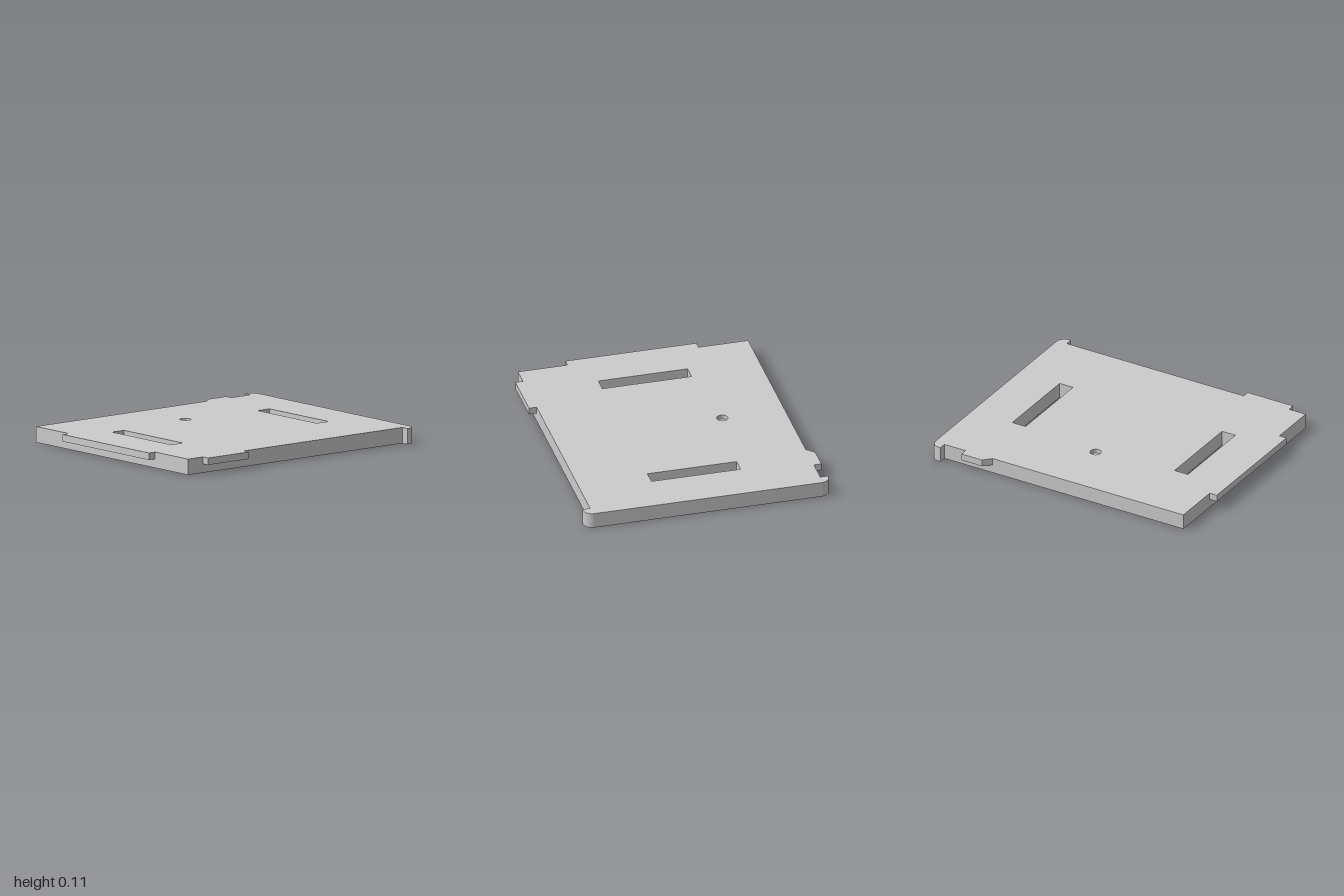
import * as THREE from 'three';
import { toCreasedNormals } from 'three/addons/utils/BufferGeometryUtils.js';

const H = 0.108;          // plate thickness
const TAB_Y = 0.06;       // underside of the thin tabs
const RECESS = 0.047;     // depth of the round recess underneath
const PIN = 0.03;         // depth of the small blind hole on top

export function createModel() {
  const group = new THREE.Group();
  const material = new THREE.MeshStandardMaterial({ color: 0xcccccc });

  const add = (name, geometry) => {
    const mesh = new THREE.Mesh(geometry, material);
    mesh.name = name;
    group.add(mesh);
    return mesh;
  };

  // Plans are drawn in (x, -z), so turning them back lays them flat.
  const lay = (geometry, y = 0) => geometry.rotateX(-Math.PI / 2).translate(0, y, 0);

  // Vertical wall along a closed path: counterclockwise faces out, clockwise faces in.
  const wall = (path, y0, y1) => {
    const pts = path.getPoints(24);
    const pos = [];
    pts.forEach((p, i) => {
      const q = pts[(i + 1) % pts.length];
      if (p.distanceTo(q) < 1e-5) return;
      pos.push(p.x, p.y, y0, q.x, q.y, y0, q.x, q.y, y1);
      pos.push(p.x, p.y, y0, q.x, q.y, y1, p.x, p.y, y1);
    });
    const g = new THREE.BufferGeometry();
    g.setAttribute('position', new THREE.Float32BufferAttribute(pos, 3));
    g.computeVertexNormals();
    return lay(toCreasedNormals(g, 0.6));
  };

  const polygon = (pts) => new THREE.Shape(pts.map(([x, y]) => new THREE.Vector2(x, y)));
  const circle = (x, y, r) => new THREE.Path().absarc(x, y, r, 0, Math.PI * 2, true);

  // Plate outline with a rounded hook at both left corners
  const outline = new THREE.Shape();
  outline.moveTo(-0.945, -0.8);
  outline.lineTo(0.925, -0.8);
  outline.lineTo(0.925, -0.853);
  outline.absarc(0.937, -0.79, 0.063, -Math.PI / 2, 0, false);
  outline.absarc(0.937, 0.79, 0.063, 0, Math.PI / 2, false);
  outline.lineTo(0.925, 0.853);
  outline.lineTo(0.925, 0.8);
  outline.lineTo(-0.945, 0.8);
  outline.closePath();

  // Two through slots
  const slots = [-0.635, 0.635].map((x) =>
    polygon([[x - 0.052, -0.31], [x - 0.052, 0.31], [x + 0.052, 0.31], [x + 0.052, -0.31], [x - 0.052, -0.31]]));
  const pinHole = circle(0, 0.367, 0.038);
  const recess = circle(0, 0, 0.41);

  const face = (...holes) => {
    const shape = outline.clone();
    shape.holes = holes;
    return new THREE.ShapeGeometry(shape, 24);
  };

  // Plate
  add('plateTop', lay(face(...slots, pinHole), H));
  add('plateBottom', face(...slots, recess).rotateX(Math.PI / 2));
  add('plateEdge', wall(outline, 0, H));
  slots.forEach((slot) => add('slotWall', wall(slot, 0, H)));

  // Small blind hole on top
  add('pinHoleWall', wall(pinHole, H - PIN, H));
  add('pinHoleFloor', lay(new THREE.CircleGeometry(0.038, 24), H - PIN).translate(0, 0, -0.367));

  // Round recess underneath
  add('recessWall', wall(recess, 0, RECESS));
  add('recessCeiling', new THREE.CircleGeometry(0.41, 48).rotateX(Math.PI / 2).translate(0, RECESS, 0));

  // Thin tabs flush with the top
  const tabs = {
    sideTab: [[-1, -0.455], [-0.945, -0.455], [-0.945, 0.455], [-1, 0.455]],
    frontTab: [[-0.815, -0.853], [-0.46, -0.853], [-0.46, -0.8], [-0.815, -0.8]],
    backTab: [[0.547, 0.8], [0.76, 0.8], [0.76, 0.853], [0.6, 0.853]],
  };
  for (const [name, pts] of Object.entries(tabs)) {
    add(name, lay(new THREE.ExtrudeGeometry(polygon(pts), { depth: H - TAB_Y, bevelEnabled: false }), TAB_Y));
  }

  return group;
}
